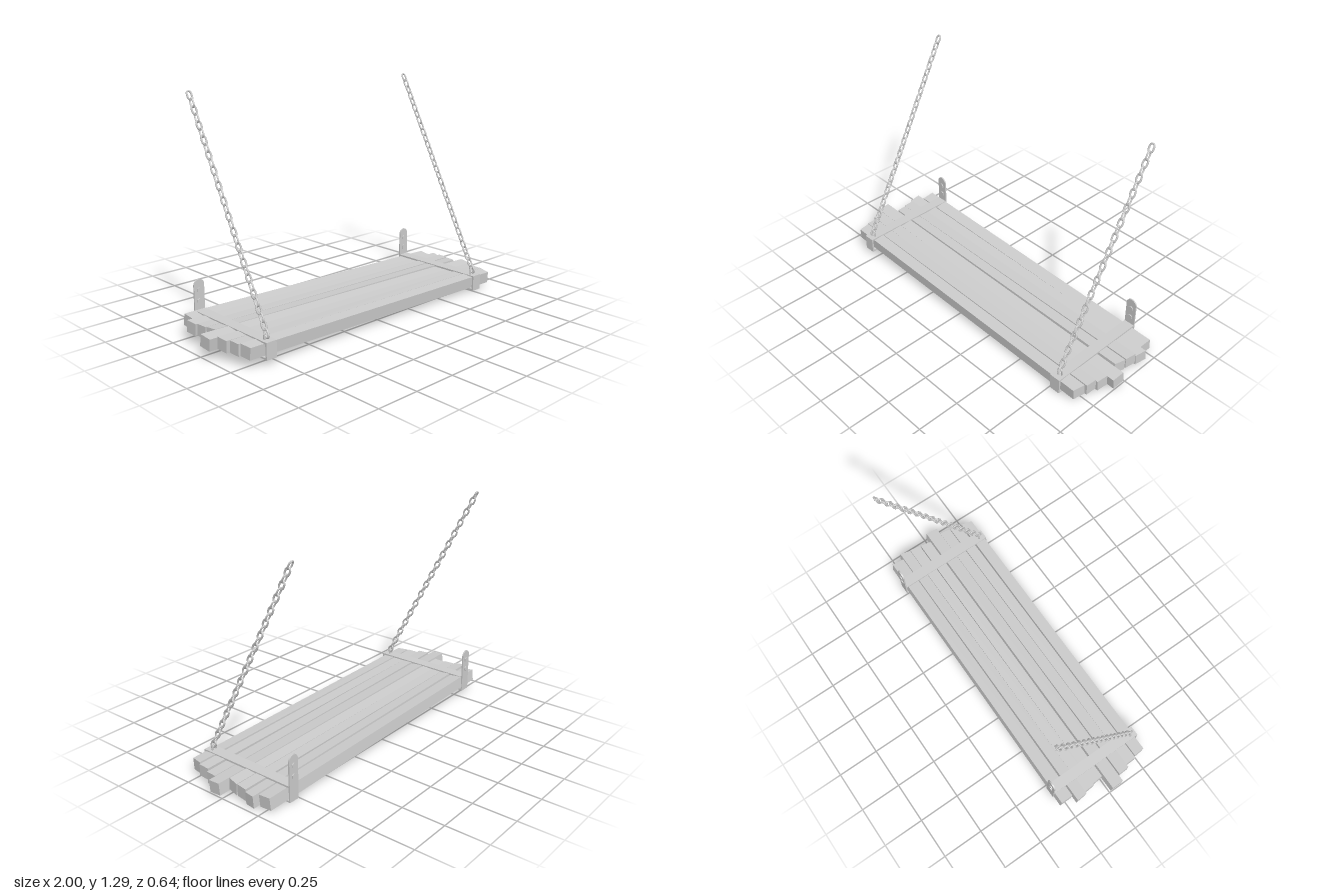
import * as THREE from 'three';

const material = new THREE.MeshStandardMaterial({ color: 0xcccccc, flatShading: true });
const metal = new THREE.MeshStandardMaterial({ color: 0xcccccc });

function add(parent, name, geometry, x, y, z, mat = material) {
  const mesh = new THREE.Mesh(geometry, mat);
  mesh.name = name;
  mesh.position.set(x, y, z);
  parent.add(mesh);
  return mesh;
}

// Oval chain link standing in the xy plane, long axis along y
function linkGeometry(width, length, wire) {
  const r = width / 2 - wire, straight = length / 2 - width / 2;
  const points = [];
  for (let i = 0; i < 12; i++) {
    const a = ((i + 0.5) / 12) * Math.PI * 2;
    points.push(new THREE.Vector3(Math.cos(a) * r, Math.sin(a) * r + Math.sign(Math.sin(a)) * straight, 0));
  }
  return new THREE.TubeGeometry(new THREE.CatmullRomCurve3(points, true), 20, wire, 6, true);
}

// Rough plank between two ends: each end has its own height, depth and slant
function plankGeometry(p) {
  const geometry = new THREE.BoxGeometry(1, 1, 1);
  const pos = geometry.attributes.position;
  for (let i = 0; i < pos.count; i++) {
    const right = pos.getX(i) > 0;
    const v = pos.getY(i), w = pos.getZ(i);
    const x = (right ? p.x1 : p.x0) - w * (right ? p.slant : -p.slant * 0.4);
    const y = (right ? p.y1 : p.y0) + v * 0.066 - w * p.roll;
    const z = (right ? p.z1 : p.z0) + w * p.depth + v * p.roll;
    pos.setXYZ(i, x, y, z);
  }
  geometry.computeVertexNormals();
  return geometry;
}

// Upright plate with a rounded top
function plateGeometry(width, height, depth) {
  const r = width / 2;
  const shape = new THREE.Shape();
  shape.moveTo(-r, 0);
  shape.lineTo(r, 0);
  shape.lineTo(r, height - r);
  shape.absarc(0, height - r, r, 0, Math.PI, false);
  shape.closePath();
  return new THREE.ExtrudeGeometry(shape, { depth, bevelEnabled: false, curveSegments: 10 });
}

export function createModel() {
  const model = new THREE.Group();
  model.name = 'hangingShelf';

  // Planks, back to front: [left x, right x, left z, right z, depth, left y, right y, roll, slant]
  const planks = [
    [-0.90, 0.94, -0.250, -0.240, 0.076, 0.091, 0.044, 0.008, 0.004],
    [-0.938, 0.97, -0.168, -0.164, 0.067, 0.091, 0.042, 0.006, 0.015],
    [-0.922, 0.955, -0.100, -0.096, 0.067, 0.088, 0.052, 0, 0.01],
    [-0.91, 0.942, -0.032, -0.022, 0.066, 0.089, 0.052, -0.004, 0.015],
    [-1.0, 0.998, 0.042, 0.054, 0.075, 0.092, 0.043, 0.008, 0.004],
    [-0.955, 0.95, 0.122, 0.127, 0.068, 0.092, 0.041, 0.004, 0.008],
    [-0.932, 0.935, 0.192, 0.198, 0.067, 0.088, 0.052, 0, 0.004],
    [-0.918, 0.915, 0.262, 0.272, 0.068, 0.088, 0.053, 0.005, 0.016],
  ];
  const deck = new THREE.Group();
  deck.name = 'planks';
  model.add(deck);
  for (const [x0, x1, z0, z1, depth, y0, y1, roll, slant] of planks) {
    add(deck, 'plank', plankGeometry({ x0, x1, z0, z1, depth, y0, y1, roll, slant }), 0, 0, 0);
  }

  const link = linkGeometry(0.036, 0.056, 0.005);
  const width = 0.064, height = 0.092, front = 0.318, back = -0.292, t = 0.01;
  const mid = (front + back) / 2, span = front - back;
  const lean = Math.atan2(-0.0188, 0.0358);

  for (const [side, x, base] of [['right', -0.8, 0.034], ['left', 0.785, 0.002]]) {
    // Metal band wrapped round the planks
    const bracket = new THREE.Group();
    bracket.name = side + 'Bracket';
    bracket.position.set(x, base, 0);
    model.add(bracket);
    add(bracket, 'topStrap', new THREE.BoxGeometry(width, t, span), 0, height - t / 2, mid);
    add(bracket, 'bottomStrap', new THREE.BoxGeometry(width, t, span), 0, t / 2, mid);
    add(bracket, 'frontStrap', new THREE.BoxGeometry(width, height, t), 0, height / 2, front - t / 2);

    // Wall plate with two bolts
    const top = 0.26;
    add(bracket, 'wallPlate', plateGeometry(width, top, 0.008), 0, 0, back - 0.002);
    for (const drop of [0.06, 0.12]) {
      const bolt = add(bracket, 'bolt', new THREE.CylinderGeometry(0.016, 0.016, 0.018, 6), 0, top - drop, back + 0.002);
      bolt.rotation.x = Math.PI / 2;
    }

    // Chain of alternating links leaning back to the wall
    const chain = new THREE.Group();
    chain.name = side + 'Chain';
    chain.position.set(x, base, 0);
    model.add(chain);
    add(chain, 'anchorRing', link, 0, height + 0.014, 0.278, metal);
    for (let i = 0; i < 32; i++) {
      const holder = new THREE.Group();
      holder.name = 'chainLink';
      holder.position.set(0, 1.232 - i * 0.0358, -0.303 + i * 0.0188);
      holder.rotation.x = lean;
      chain.add(holder);
      add(holder, 'link', link, 0, 0, 0, metal).rotation.y = i % 2 ? Math.PI / 2 : 0;
    }
  }
  return model;
}
